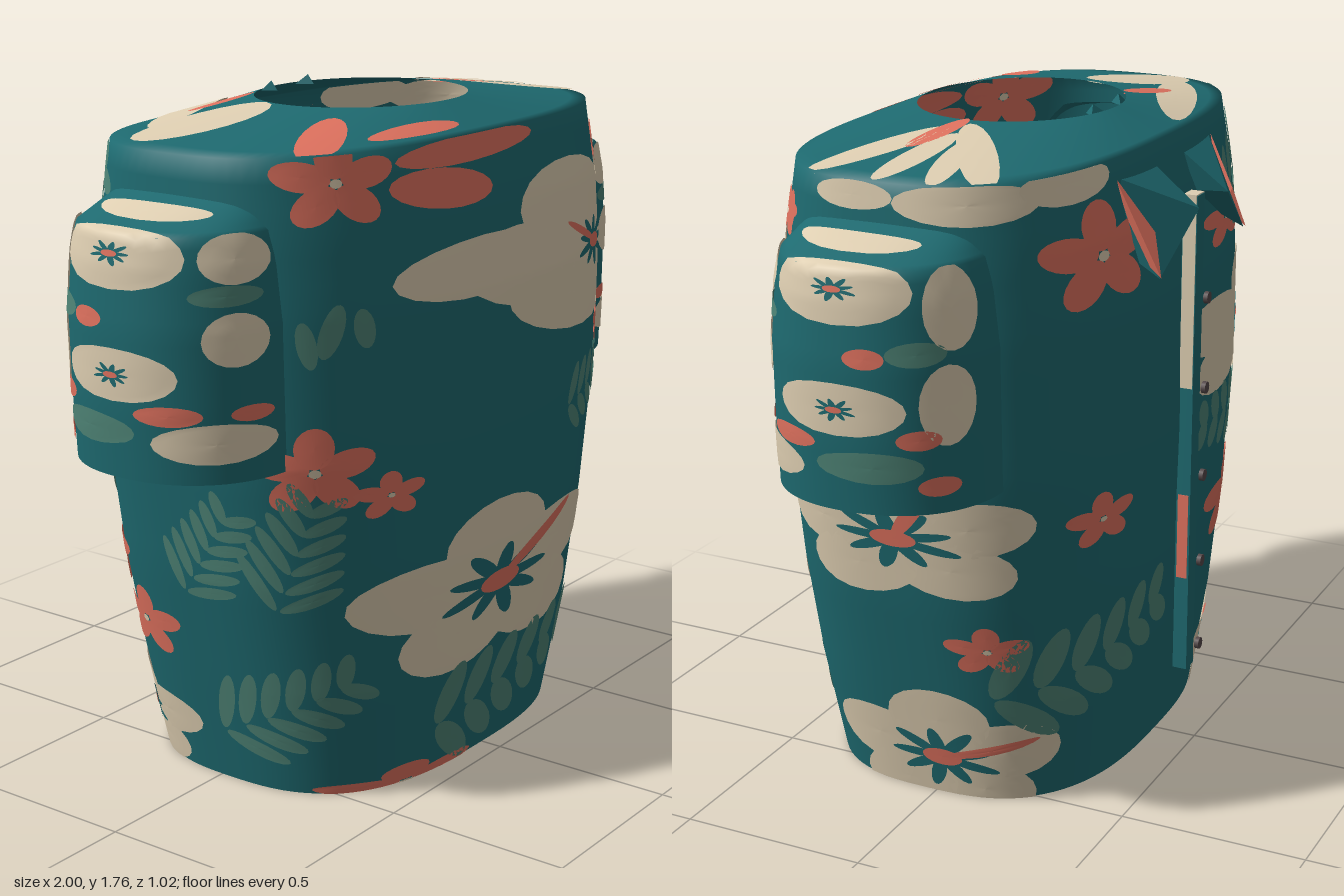
import * as THREE from 'three';
import { mergeGeometries } from 'three/addons/utils/BufferGeometryUtils.js';
import { ConvexGeometry } from 'three/addons/geometries/ConvexGeometry.js';

const CZ = 0.03, N = 2.8, PI = Math.PI;
const clamp = THREE.MathUtils.clamp;
const spow = (v, p) => Math.sign(v) * Math.abs(v) ** p;

// Profiles: torso [y, halfWidth, halfDepth]; yoke [t, y, halfWidth, halfDepth, exponent]; sleeve [v, y, outerX, halfDepth]
const TORSO = [[0, 0.58, 0.41], [0.3, 0.65, 0.45], [0.6, 0.717, 0.468], [0.93, 0.775, 0.475],
  [1.3, 0.79, 0.47], [1.5, 0.79, 0.448], [1.685, 0.78, 0.412]];
const SHOULDER = 1.685;
const YOKE = [[0, SHOULDER, 0.78, 0.412, N], [1, 1.745, 0.31, 0.265, 2]];
const SLEEVE = [[0.93, 0.93, 0.975, 0.29], [1.1, 1.1, 0.99, 0.29], [1.3, 1.3, 0.997, 0.29], [1.45, 1.45, 0.99, 0.275],
  [1.52, 1.52, 0.98, 0.26], [1.62, 1.555, 0.88, 0.235], [1.72, 1.59, 0.78, 0.2]];
function sample(rows, k) {
  k = clamp(k, rows[0][0], rows[rows.length - 1][0]);
  let i = 0;
  while (i < rows.length - 2 && k > rows[i + 1][0]) i++;
  const f = (k - rows[i][0]) / (rows[i + 1][0] - rows[i][0]);
  return rows[i].map((v, j) => v + (rows[i + 1][j] - v) * f);
}

// Arc length around the torso, measured from the front centre towards +x
const ring = (phi, a, b, n) => [a * spow(Math.sin(phi), 2 / n), b * spow(Math.cos(phi), 2 / n)];
const STEPS = 1600, arc = [0];
for (let i = 1; i <= STEPS; i++) {
  const p = ring((i - 1) / STEPS * 2 * PI, 0.79, 0.47, N), q = ring(i / STEPS * 2 * PI, 0.79, 0.47, N);
  arc.push(arc[i - 1] + Math.hypot(p[0] - q[0], p[1] - q[1]));
}
const LEN = arc[STEPS];
function phiAt(s) {
  s = ((s % LEN) + LEN) % LEN;
  let lo = 0, hi = STEPS;
  while (hi - lo > 1) { const m = (lo + hi) >> 1; if (arc[m] <= s) lo = m; else hi = m; }
  return (lo + (s - arc[lo]) / (arc[hi] - arc[lo])) / STEPS * 2 * PI;
}
function arcOfX(x, y) {
  const u = clamp(Math.abs(x) / sample(TORSO, y)[1], 0, 1);
  return Math.sign(x) * arc[Math.round(Math.asin(u ** (N / 2)) / (2 * PI) * STEPS)];
}

// Points on the cloth surfaces, pushed out by off
function torsoPoint(s, y, off = 0) {
  const [h, a, b] = sample(TORSO, y), [x, z] = ring(phiAt(s), a + off, b + off, N);
  return [x, h, z + CZ];
}
function yokePoint(x, z, off = 0) {
  const F = t => { const [, , a, b, n] = sample(YOKE, t); return ((Math.abs(x) / a) ** n + (Math.abs(z - CZ) / b) ** n) ** (1 / n); };
  let lo = 0, hi = 1;
  for (let i = 0; i < 24; i++) { const m = (lo + hi) / 2; if (F(m) < 1) lo = m; else hi = m; }
  const k = 1 / F(lo);
  return [x * k, sample(YOKE, lo)[1] + off, CZ + (z - CZ) * k];
}
function sleevePoint(side, w, v, off = 0) {
  const [, y, X, Z] = sample(SLEEVE, v), phi = clamp(w / 0.3, -PI / 2, PI / 2);
  return [side * (0.68 + (X + off - 0.68) * Math.cos(phi) ** 0.9), y + (v > 1.52 ? off : 0), CZ + (Z + off) * spow(Math.sin(phi), 0.9)];
}

// Grid of rows x cols points as a smooth sheet
function sheet(rows, cols, point, wrap) {
  const pos = [], idx = [], n = wrap ? cols : cols + 1;
  for (let r = 0; r <= rows; r++) for (let c = 0; c < n; c++) pos.push(...point(c / cols, r / rows));
  for (let r = 0; r < rows; r++) for (let c = 0; c < cols; c++) {
    const a = r * n + c, b = r * n + (c + 1) % n;
    idx.push(a, b, b + n, a, b + n, a + n);
  }
  const g = new THREE.BufferGeometry();
  g.setAttribute('position', new THREE.Float32BufferAttribute(pos, 3));
  g.setIndex(idx);
  g.computeVertexNormals();
  return g;
}

// Print placement: F front, B back, R and L sides, T yoke, S and M sleeves
function placer(view, cx, cy) {
  if (view === 'T') return (u, v, o) => yokePoint(cx + u, cy + v, o);
  if (view === 'S') return (u, v, o) => sleevePoint(1, cx + u, cy + v, o);
  if (view === 'M') return (u, v, o) => sleevePoint(-1, cx + u, cy + v, o);
  const s0 = { F: arcOfX(cx, cy), B: LEN / 2 - arcOfX(cx, cy), R: LEN / 4 - cx + CZ, L: -LEN / 4 + cx - CZ }[view];
  const dir = view === 'F' || view === 'L' ? 1 : -1, k = dir * 0.79 / sample(TORSO, cy)[1];
  return (u, v, o) => torsoPoint(s0 + u * k, cy + v, o);
}

export function createModel() {
  const group = new THREE.Group();
  const mat = (name, color) => new THREE.MeshStandardMaterial({ name, color, side: THREE.DoubleSide });
  const mats = { teal: mat('tealCloth', 0x1e6a70), cream: mat('creamPrint', 0xdfcfb2), coral: mat('coralPrint', 0xe0725f),
    sage: mat('sagePrint', 0x4f8577), button: mat('darkButton', 0x55494a) };
  const add = (name, geo, m, x = 0, y = 0, z = 0) => {
    const mesh = new THREE.Mesh(geo, mats[m]);
    mesh.name = name;
    mesh.position.set(x, y, z);
    group.add(mesh);
  };

  // Cloth: torso running smoothly into the yoke up to the neck, and two sleeves
  add('torso', sheet(36, 112, (c, r) => {
    const k = Math.round(r * 36);
    if (k <= 28) return torsoPoint(c * LEN, k / 28 * SHOULDER);
    const [, y, a, b, n] = sample(YOKE, (k - 28) / 8), [x, z] = ring(phiAt(c * LEN), a, b, n);
    return [x, y, z + CZ];
  }, true), 'teal');
  for (const side of [1, -1]) add(side > 0 ? 'leftSleeve' : 'rightSleeve',
    sheet(28, 40, (c, r) => sleevePoint(side, (c - 0.5) * 0.3 * PI, 0.93 + r * 0.79)), 'teal');

  // Printed ellipses that hug the cloth, inside and out
  const print = { cream: [], coral: [], sage: [], teal: [] };
  function blob(place, color, ex, ey, rx, ry, rot = 0, sx = 1, sy = 1, layer = 0) {
    const rings = Math.ceil(Math.max(rx * sx, ry * sy) / 0.05) + 1, c = Math.cos(rot), s = Math.sin(rot);
    for (const o of [1, -1]) print[color].push(sheet(rings, 20, (a, r) => {
      const p = r * rx * Math.cos(a * 2 * PI), q = r * ry * Math.sin(a * 2 * PI);
      return place((ex + p * c - q * s) * sx, (ey + p * s + q * c) * sy, o * (0.004 + 0.002 * layer));
    }, true));
  }
  function eye(place, sx, sy, stamen) {
    for (let i = 0; i < 9; i++) {
      const t = i * 2 * PI / 9, d = 0.2 + 0.06 * (i % 2);
      blob(place, 'teal', Math.cos(t) * d, Math.sin(t) * d, 0.24, 0.065, t, sx, sy, 1);
    }
    blob(place, 'coral', 0, 0, 0.17, 0.13, 0, sx, sy, 2);
    if (stamen !== null) blob(place, 'coral', Math.cos(stamen) * 0.45, Math.sin(stamen) * 0.45, 0.45, 0.065, stamen, sx, sy, 2);
  }
  function flower(view, color, cx, cy, sx, sy, rot = 0.3, stamen = null) {
    const place = placer(view, cx, cy);
    for (let i = 0; i < 5; i++) {
      const t = rot + i * 2 * PI / 5;
      blob(place, color, Math.cos(t) * 0.57, Math.sin(t) * 0.57, 0.48, color === 'cream' ? 0.42 : 0.32, t, sx, sy);
    }
    if (color === 'cream') eye(place, sx, sy, stamen);
    else blob(place, 'cream', 0, 0, 0.1, 0.1, 0, sx, sy, 1);
  }
  function fern(view, cx, cy, len, width, rot) {
    const place = placer(view, cx, cy), c = Math.cos(rot), s = Math.sin(rot);
    for (let i = 0; i < 6; i++) for (const k of [1, -1]) {
      const p = (i / 5 - 0.5) * len * 1.6, q = k * width * 0.5 * (1 - i * 0.1);
      blob(place, 'sage', p * c - q * s, p * s + q * c, width * 0.62 * (1 - i * 0.08), len * 0.11, rot + k * 0.85);
    }
  }

  // Blossoms: view, colour, centre, half sizes, turn, stamen angle
  [['F', 'cream', -0.01, 0.49, 0.54, 0.22, 0.35, 0.75], ['R', 'cream', 0.02, 0.78, 0.36, 0.18, 0.2, 1.9], ['R', 'cream', -0.04, 0.12, 0.28, 0.2, 0.3, 2.7],
    ['B', 'cream', -0.48, 0.12, 0.27, 0.14, 0.3, 1],
    ['F', 'coral', -0.58, 1.62, 0.17, 0.11], ['F', 'coral', -0.65, 0.92, 0.16, 0.11], ['F', 'coral', -0.46, 0.835, 0.11, 0.06],
    ['F', 'coral', 0.61, 1.07, 0.09, 0.06], ['F', 'coral', 0.66, 1.56, 0.09, 0.06], ['F', 'coral', -0.32, 0.0, 0.25, 0.05],
    ['R', 'coral', -0.2, 0.47, 0.1, 0.07], ['R', 'coral', 0.42, 1.08, 0.07, 0.05], ['B', 'coral', 0.42, 1.47, 0.22, 0.13],
    ['B', 'coral', 0.43, 0.79, 0.13, 0.07], ['B', 'coral', -0.45, 0.58, 0.27, 0.11], ['L', 'coral', -0.2, 0.42, 0.13, 0.09],
    ['B', 'coral', -0.35, 1.4, 0.2, 0.07]
  ].forEach(f => flower(...f));

  // Long loose petals: view, colour, centre, half sizes, turn
  [['F', 'cream', 0.36, 1.45, 0.29, 0.12, -0.05], ['F', 'cream', 0.33, 1.21, 0.34, 0.1, -0.12], ['F', 'cream', 0.58, 1.34, 0.13, 0.14, 0],
    ['F', 'cream', -0.1, 1.36, 0.36, 0.075, 0], ['F', 'cream', 0.15, 1.32, 0.36, 0.11, -0.1],
    ['F', 'coral', -0.12, 1.655, 0.29, 0.035, 0.02], ['F', 'coral', -0.24, 1.57, 0.2, 0.05, -0.1],
    ['B', 'cream', -0.26, 1.12, 0.27, 0.08, 0.08], ['B', 'cream', -0.32, 1.01, 0.24, 0.08, -0.05], ['B', 'cream', -0.54, 1.17, 0.15, 0.1, 0.3],
    ['B', 'cream', -0.6, 0.98, 0.14, 0.08, 0],
    ['T', 'cream', 0.55, -0.12, 0.24, 0.05, -0.55], ['T', 'cream', 0.57, 0.14, 0.21, 0.05, 0.45], ['T', 'cream', 0.6, 0.02, 0.18, 0.04, 0.1],
    ['T', 'cream', 0.62, -0.08, 0.16, 0.035, -0.2], ['T', 'coral', 0.43, 0.05, 0.12, 0.03, 0.2],
    ['T', 'cream', -0.52, -0.08, 0.21, 0.1, 0.2], ['T', 'cream', -0.36, -0.26, 0.26, 0.055, -0.35], ['T', 'coral', -0.3, -0.2, 0.11, 0.025, 0.2],
    ['T', 'coral', -0.52, 0.29, 0.18, 0.055, -0.45], ['T', 'coral', -0.26, 0.38, 0.17, 0.03, 0.1],
    ['R', 'cream', -0.22, 1.64, 0.2, 0.05, 0], ['R', 'cream', 0.1, 1.65, 0.12, 0.035, 0], ['B', 'cream', 0.5, 1.66, 0.16, 0.05, 0],
    ['F', 'sage', -0.62, 1.27, 0.03, 0.07, -0.4], ['F', 'sage', -0.54, 1.27, 0.03, 0.05, 0.2], ['F', 'sage', -0.67, 1.24, 0.025, 0.06, 0.2],
    ['R', 'cream', 0.44, 1.3, 0.05, 0.2, 0.1], ['R', 'coral', 0.36, 1.57, 0.03, 0.05, 0]
  ].forEach(([v, col, x, y, rx, ry, rot]) => blob(placer(v, x, y), col, 0, 0, rx, ry, rot));
  eye(placer('F', 0.5, 1.32), 0.27, 0.15, 2.5);
  eye(placer('B', -0.57, 1.07), 0.2, 0.13, null);

  // Fronds: view, centre, half length, leaflet width, turn
  [['F', 0.12, 0.19, 0.38, 0.15, 0.15], ['F', -0.6, 0.26, 0.2, 0.14, 0.5], ['F', -0.66, 0.72, 0.16, 0.14, 1.2], ['F', 0.52, 0.93, 0.2, 0.1, 0.2],
    ['B', -0.38, 0.84, 0.3, 0.12, 0.1], ['B', -0.58, 1.53, 0.25, 0.13, 2.7], ['B', 0.38, 0.4, 0.33, 0.16, 2.9],
    ['L', 0.1, 0.7, 0.15, 0.12, 1]].forEach(f => fern(...f));

  // Sleeve print, the same on both arms
  for (const v of ['S', 'M']) {
    [['cream', 0, 1.475, 0.2, 0.08], ['cream', 0.02, 1.63, 0.22, 0.04], ['cream', 0, 1.19, 0.17, 0.065], ['cream', 0.32, 1.28, 0.09, 0.065],
      ['cream', 0.26, 1.03, 0.17, 0.05], ['cream', -0.28, 1.2, 0.08, 0.1], ['cream', -0.3, 1.43, 0.08, 0.1], ['cream', 0.33, 1.47, 0.1, 0.06],
      ['sage', -0.08, 1.05, 0.13, 0.04], ['sage', 0.3, 1.385, 0.1, 0.025], ['sage', -0.2, 1.33, 0.08, 0.03],
      ['coral', -0.07, 1.32, 0.05, 0.025], ['coral', 0.14, 1.1, 0.09, 0.025],
      ['coral', -0.2, 1.12, 0.06, 0.025], ['coral', 0.36, 1.1, 0.06, 0.02], ['coral', -0.25, 1.0, 0.06, 0.025]
    ].forEach(([col, x, y, rx, ry]) => blob(placer(v, x, y), col, 0, 0, rx, ry));
    eye(placer(v, 0, 1.48), 0.12, 0.06, null);
    eye(placer(v, 0, 1.19), 0.1, 0.06, null);
  }
  const names = { cream: 'creamFlowers', coral: 'coralFlowers', sage: 'sageFronds', teal: 'flowerCentres' };
  for (const c in print) add(names[c], mergeGeometries(print[c]), c);

  // Collar flaps with a coral outer edge, and the small stand tips beside the neck
  for (const s of [1, -1]) {
    const hull = pts => new ConvexGeometry(pts.map(([x, y, z]) => new THREE.Vector3(x * s, y, z)));
    add('collarFlap', hull([[0.09, 1.63, -0.385], [0.31, 1.64, -0.37], [0.29, 1.39, -0.49], [0.1, 1.53, -0.515],
      [0.12, 1.52, -0.42], [0.28, 1.42, -0.43]]), 'teal');
    add('collarEdge', hull([[0.313, 1.642, -0.374], [0.293, 1.392, -0.495], [0.283, 1.44, -0.43], [0.265, 1.5, -0.465]]), 'coral');
    add('collarTip', hull([[0.05, 1.74, -0.23], [0.11, 1.74, -0.22], [0.08, 1.765, -0.21], [0.08, 1.74, -0.19]]), 'teal');
  }

  // Button placket with its print and buttons
  add('placket', new THREE.BoxGeometry(0.05, 1.33, 0.04), 'teal', 0, 0.875, -0.46);
  add('placketCreamPrint', new THREE.BoxGeometry(0.053, 0.522, 0.036), 'cream', 0, 1.282, -0.46);
  add('placketCoralPrint', new THREE.BoxGeometry(0.053, 0.24, 0.03), 'coral', 0, 0.6, -0.46);
  for (let i = 0; i < 5; i++) add('button', new THREE.CylinderGeometry(0.016, 0.016, 0.012, 16).rotateX(PI / 2), 'button', 0, 0.285 + i * 0.246, -0.504);
  return group;
}
